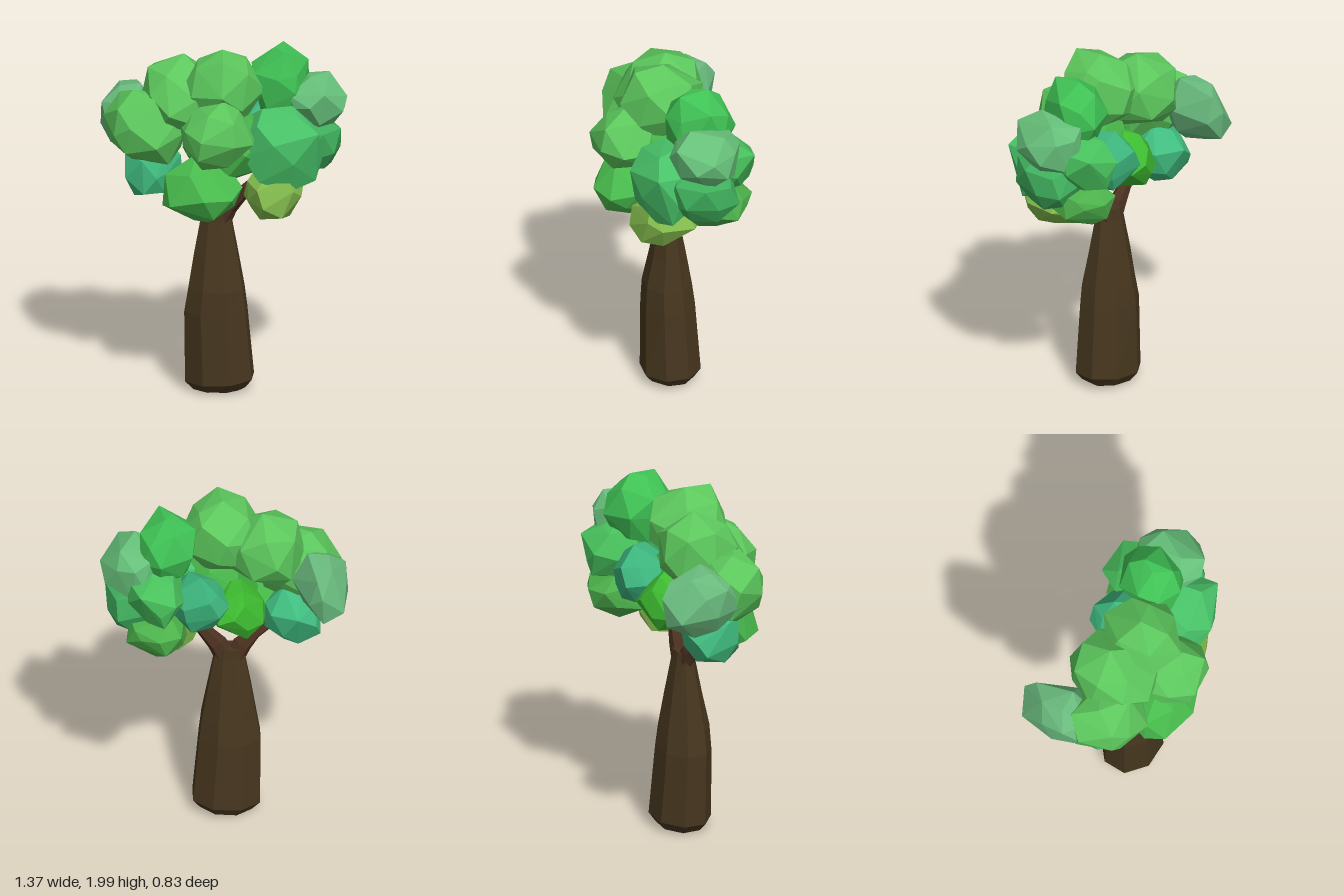
import * as THREE from 'three';
import { ConvexGeometry } from 'three/addons/geometries/ConvexGeometry.js';

// Small seeded generator, so every leaf clump keeps its shape
function seeded(seed) {
  let s = seed * 7919 + 17;
  return () => {
    s = (s * 16807) % 2147483647;
    return s / 2147483647;
  };
}

const material = (color) => new THREE.MeshStandardMaterial({ color, flatShading: true });

// Skin over rings [x, y, z, radiusX, radiusZ], closed at both ends
function loft(name, rings, sides, mat) {
  const up = new THREE.Vector3(0, 1, 0);
  const centres = rings.map((r) => new THREE.Vector3(r[0], r[1], r[2]));
  const positions = [];
  const index = [];
  rings.forEach((r, i) => {
    const along = centres[Math.min(i + 1, rings.length - 1)].clone()
      .sub(centres[Math.max(i - 1, 0)]).normalize();
    const turn = new THREE.Quaternion().setFromUnitVectors(up, along);
    for (let k = 0; k < sides; k++) {
      const a = ((k + 0.5) / sides) * Math.PI * 2;
      const p = new THREE.Vector3(Math.sin(a) * r[3], 0, Math.cos(a) * r[4])
        .applyQuaternion(turn).add(centres[i]);
      positions.push(p.x, p.y, p.z);
    }
  });
  for (let i = 0; i < rings.length - 1; i++) {
    for (let k = 0; k < sides; k++) {
      const n = (k + 1) % sides;
      const a = i * sides + k, b = i * sides + n;
      index.push(a, b, b + sides, a, b + sides, a + sides);
    }
  }
  const last = (rings.length - 1) * sides;
  for (let k = 1; k < sides - 1; k++) {
    index.push(0, k + 1, k, last, last + k, last + k + 1);
  }
  const geometry = new THREE.BufferGeometry();
  geometry.setAttribute('position', new THREE.Float32BufferAttribute(positions, 3));
  geometry.setIndex(index);
  geometry.computeVertexNormals();
  const mesh = new THREE.Mesh(geometry, mat);
  mesh.name = name;
  return mesh;
}

// Irregular faceted clump that fills the box from min to max
function clump(name, min, max, color, seed) {
  const random = seeded(seed);
  const count = 22;
  const points = [];
  for (let i = 0; i < count; i++) {
    const y = 1 - (2 * (i + 0.5)) / count;
    const a = i * 2.39996 + seed + (random() - 0.5) * 0.7;
    const r = Math.sqrt(1 - y * y);
    points.push(new THREE.Vector3(Math.cos(a) * r, y, Math.sin(a) * r)
      .multiplyScalar(0.88 + random() * 0.24)
      .applyEuler(new THREE.Euler(seed, seed * 2, 0)));
  }
  const box = new THREE.Box3().setFromPoints(points);
  const size = box.getSize(new THREE.Vector3());
  const low = new THREE.Vector3(...min);
  const span = new THREE.Vector3(...max).sub(low);
  points.forEach((p) => p.sub(box.min).divide(size).multiply(span).add(low));
  const mesh = new THREE.Mesh(new ConvexGeometry(points), material(color));
  mesh.name = name;
  return mesh;
}

export function createModel() {
  const tree = new THREE.Group();
  tree.name = 'tree';

  // Trunk, swollen below the middle and narrowing to the fork
  const bark = material(0x46361e);
  const forkBark = material(0x4a3020);
  tree.add(loft('trunk', [
    [-0.015, 0.01, -0.045, 0.11, 0.09],
    [-0.015, 0.025, -0.045, 0.155, 0.13],
    [-0.02, 0.075, -0.045, 0.2, 0.168],
    [-0.04, 0.48, -0.035, 0.183, 0.15],
    [-0.036, 0.61, -0.03, 0.163, 0.138],
    [-0.038, 0.8, -0.035, 0.13, 0.1],
    [-0.038, 1.0, -0.035, 0.092, 0.062],
    [-0.04, 1.06, -0.035, 0.085, 0.055],
  ], 8, bark));

  // Two forked branches reaching into the crown
  tree.add(loft('leftBranch', [
    [-0.03, 0.97, -0.035, 0.065, 0.055],
    [0.03, 1.08, -0.03, 0.055, 0.05],
    [0.11, 1.165, -0.01, 0.038, 0.038],
    [0.19, 1.27, 0.02, 0.018, 0.018],
  ], 6, forkBark));
  tree.add(loft('rightBranch', [
    [-0.05, 0.97, -0.035, 0.065, 0.055],
    [-0.11, 1.07, -0.03, 0.055, 0.045],
    [-0.18, 1.13, -0.01, 0.036, 0.036],
    [-0.28, 1.18, 0.02, 0.022, 0.022],
  ], 6, forkBark));

  // Crown: each clump is name, lowest corner, highest corner, colour
  const crown = new THREE.Group();
  crown.name = 'crown';
  [
    ['topClump', [-0.21, 1.55, -0.23], [0.24, 2.0, 0.25], 0x5cc75c],
    ['topRightClump', [-0.46, 1.5, -0.28], [-0.02, 1.95, 0.22], 0x5cc75c],
    ['rightClump', [-0.66, 1.36, -0.15], [-0.2, 1.76, 0.26], 0x5cc75c],
    ['frontClump', [-0.22, 1.36, 0.0], [0.2, 1.78, 0.4], 0x5cc75c],
    ['lowFrontClump', [-0.31, 1.04, 0.02], [0.13, 1.45, 0.38], 0x48bb4c],
    ['leftFrontClump', [0.13, 1.23, -0.12], [0.56, 1.69, 0.26], 0x48c268],
    ['leftTopClump', [0.15, 1.62, -0.33], [0.46, 2.0, 0.06], 0x3fc154],
    ['leftPaleClump', [0.35, 1.51, -0.32], [0.68, 1.84, 0.08], 0x66c07a],
    ['leftClump', [0.28, 1.29, -0.3], [0.65, 1.63, 0.09], 0x3fae5c],
    ['lowLeftClump', [0.12, 1.04, -0.15], [0.45, 1.33, 0.25], 0x82bb4c],
    ['lowBackLeftClump', [0.2, 1.17, -0.42], [0.54, 1.43, -0.02], 0x4cb04a],
    ['backLeftClump', [0.2, 1.38, -0.43], [0.53, 1.72, -0.08], 0x48c05c],
    ['backTealClump', [-0.03, 1.3, -0.36], [0.3, 1.66, -0.04], 0x3cb47c],
    ['backBrightClump', [-0.23, 1.22, -0.31], [0.08, 1.56, 0.0], 0x3dbb30],
    ['lowRightTealClump', [-0.54, 1.13, -0.24], [-0.23, 1.47, 0.12], 0x40bd80],
    ['rightPaleClump', [-0.69, 1.35, -0.42], [-0.38, 1.74, 0.05], 0x68b87c],
    ['innerClump', [-0.2, 1.22, -0.18], [0.26, 1.7, 0.2], 0x46b448],
  ].forEach(([name, min, max, color], i) => crown.add(clump(name, min, max, color, i + 1)));
  tree.add(crown);

  return tree;
}
